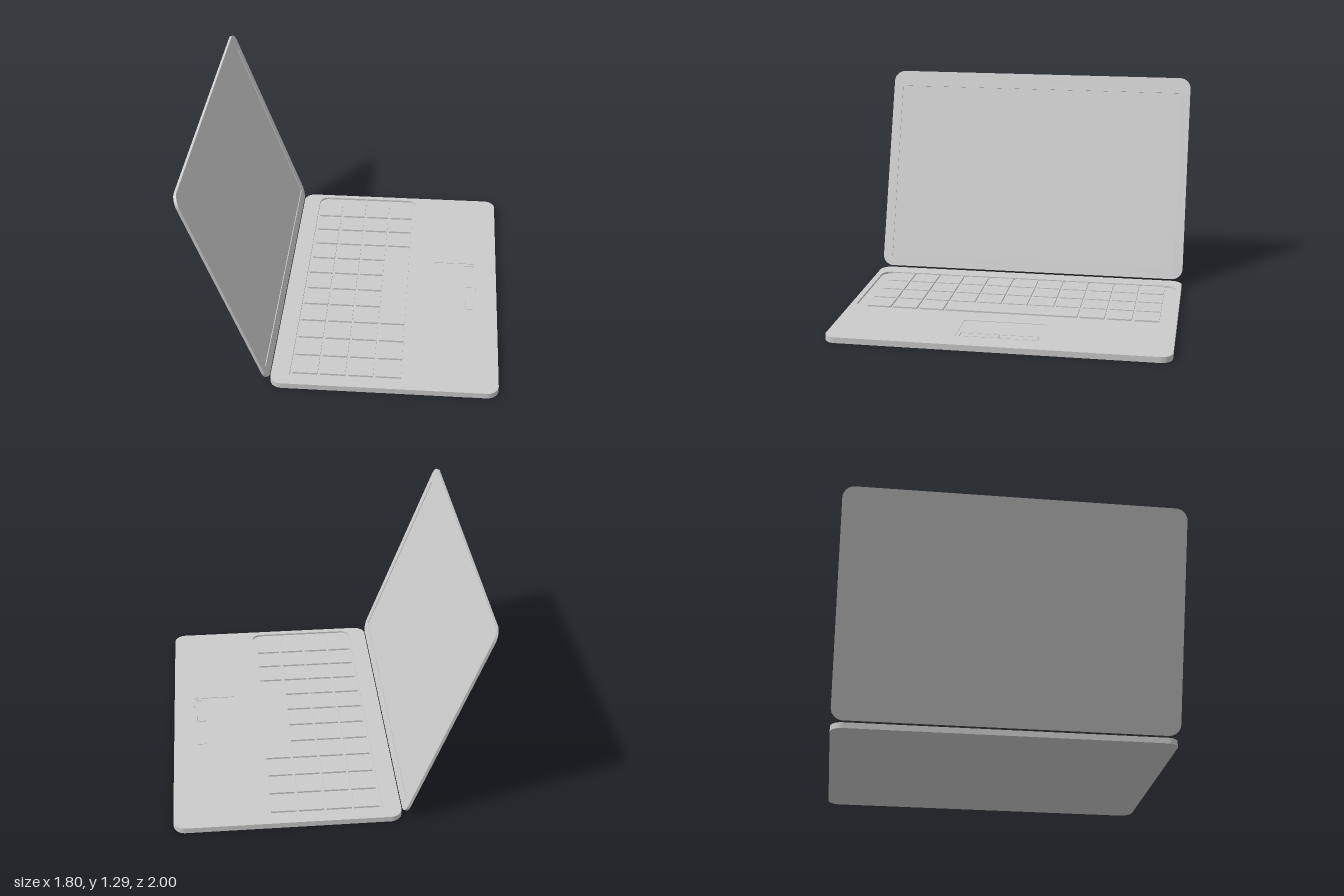
import * as THREE from 'three';

const material = new THREE.MeshStandardMaterial({ color: 0xcccccc });

// Rounded rectangle spanning x0..x1, symmetric across z
function roundedRect(x0, x1, halfZ, r, Type = THREE.Shape) {
  const s = new Type();
  s.moveTo(x0 + r, -halfZ);
  s.lineTo(x1 - r, -halfZ);
  s.absarc(x1 - r, -halfZ + r, r, -Math.PI / 2, 0);
  s.lineTo(x1, halfZ - r);
  s.absarc(x1 - r, halfZ - r, r, 0, Math.PI / 2);
  s.lineTo(x0 + r, halfZ);
  s.absarc(x0 + r, halfZ - r, r, Math.PI / 2, Math.PI);
  s.lineTo(x0, -halfZ + r);
  s.absarc(x0 + r, -halfZ + r, r, Math.PI, Math.PI * 1.5);
  return s;
}

// Horizontal plate between heights y0 and y1, with optional openings
function plate(name, outline, y0, y1, holes = []) {
  outline.holes.push(...holes);
  const geometry = new THREE.ExtrudeGeometry(outline, { depth: y1 - y0, bevelEnabled: false, curveSegments: 10 });
  geometry.rotateX(-Math.PI / 2).translate(0, y0, 0);
  const mesh = new THREE.Mesh(geometry, material);
  mesh.name = name;
  return mesh;
}

function block(name, x0, x1, y0, y1, z0, z1) {
  const mesh = new THREE.Mesh(new THREE.BoxGeometry(x1 - x0, y1 - y0, z1 - z0), material);
  mesh.position.set((x0 + x1) / 2, (y0 + y1) / 2, (z0 + z1) / 2);
  mesh.name = name;
  return mesh;
}

function createBase() {
  const base = new THREE.Group();
  base.name = 'base';
  const floor = 0.023, top = 0.035;

  // Bottom tray and deck with sunken keyboard and trackpad wells
  base.add(plate('bottomTray', roundedRect(-0.43, 0.9, 1, 0.07), 0, floor));
  base.add(plate('deck', roundedRect(-0.43, 0.9, 1, 0.07), floor, top, [
    roundedRect(-0.32, 0.36, 0.965, 0.06, THREE.Path),
    roundedRect(0.5, 0.77, 0.25, 0.015, THREE.Path),
  ]));

  // Keys: four columns by eleven rows, the space bar replacing five keys
  const keys = new THREE.Group();
  keys.name = 'keyboard';
  const pitch = 0.1642, size = 0.148;
  for (let col = 0; col < 4; col++) {
    const x = -0.305 + col * 0.163;
    for (let row = 0; row < 11; row++) {
      if (col === 3 && row >= 3 && row <= 7) continue;
      const z = (row - 5) * pitch - size / 2;
      keys.add(block('key', x, x + size, floor, top - 0.001, z, z + size));
    }
  }
  const barHalf = 2 * pitch + size / 2;
  keys.add(block('spaceBar', 0.184, 0.332, floor, top - 0.001, -barHalf, barHalf));
  base.add(keys);

  // Trackpad with its pair of buttons
  base.add(plate('trackpad', roundedRect(0.5, 0.77, 0.25, 0.015), floor, top - 0.003, [
    roundedRect(0.7, 0.755, 0.23, 0.003, THREE.Path),
  ]));
  for (const side of [-1, 1]) {
    const z = side * 0.1145;
    base.add(block('trackpadButton', 0.704, 0.751, floor, top - 0.003, z - 0.112, z + 0.112));
  }
  return base;
}

function createLid() {
  // Built closed with the screen facing down, then swung open at the hinge
  const lid = new THREE.Group();
  lid.name = 'lid';
  lid.add(plate('screenBezel', roundedRect(0, 1.325, 1, 0.07), 0, 0.006, [
    roundedRect(0.064, 1.224, 0.94, 0.004, THREE.Path),
  ]));
  lid.add(plate('lidBack', roundedRect(0, 1.325, 1, 0.07), 0.006, 0.017));
  lid.add(block('screen', 0.064, 1.224, 0.005, 0.008, -0.94, 0.94));
  lid.position.set(-0.432, 0.045, 0);
  lid.rotation.z = THREE.MathUtils.degToRad(110);
  return lid;
}

export function createModel() {
  const laptop = new THREE.Group();
  laptop.name = 'laptop';
  laptop.add(createBase(), createLid());
  return laptop;
}
